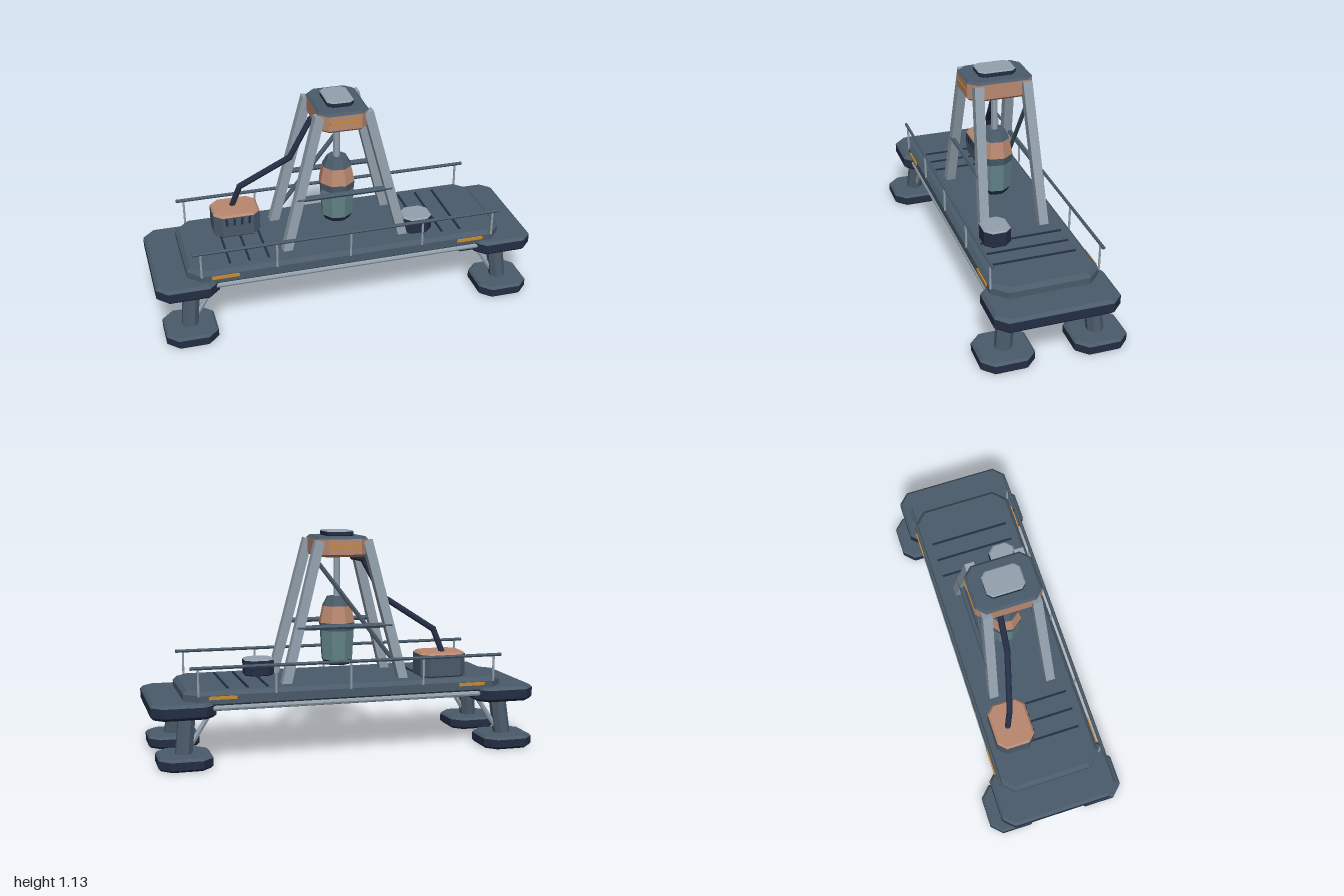
import * as THREE from 'three';

const mat = (name, color) => new THREE.MeshStandardMaterial({ name, color, flatShading: true });

export function createModel() {
  const slate = mat('slate', 0x4a5b6a), navy = mat('navy', 0x242e45), steel = mat('steel', 0x93a1ad);
  const copper = mat('copper', 0xb98870), teal = mat('teal', 0x648589), amber = mat('amber', 0xc98a2c);
  const model = new THREE.Group();
  model.name = 'platform';

  const add = (name, geo, material, x = 0, y = 0, z = 0) => {
    const m = new THREE.Mesh(geo, material);
    m.name = name;
    m.position.set(x, y, z);
    model.add(m);
    return m;
  };
  const box = (name, material, w, h, d, x, y, z) => add(name, new THREE.BoxGeometry(w, h, d), material, x, y, z);

  // Box with cut corners and bevelled rims, standing on y; upward faces take the top material
  const pad = (name, w, h, d, cut, bevel, side, top, x, y, z) => {
    const a = w / 2, b = d / 2;
    const shape = new THREE.Shape([
      [a, -b + cut], [a, b - cut], [a - cut, b], [-a + cut, b],
      [-a, b - cut], [-a, -b + cut], [-a + cut, -b], [a - cut, -b],
    ].map(p => new THREE.Vector2(...p)));
    const geo = new THREE.ExtrudeGeometry(shape, {
      depth: h - 2 * bevel, bevelThickness: bevel, bevelSize: bevel, bevelOffset: -bevel, bevelSegments: 1,
    });
    geo.rotateX(-Math.PI / 2).translate(0, bevel, 0);
    geo.clearGroups();
    const n = geo.attributes.normal;
    for (let i = 0; i < n.count; i += 3) geo.addGroup(i, 3, n.getY(i) > 0.5 ? 1 : 0);
    return add(name, geo, [side, top], x, y, z);
  };

  // Straight bar between two points
  const bar = (name, material, from, to, r, sides = 6, spin = 0) => {
    const a = new THREE.Vector3(...from), b = new THREE.Vector3(...to);
    const dir = b.clone().sub(a);
    const geo = new THREE.CylinderGeometry(r, r, dir.length(), sides).rotateY(spin);
    const m = add(name, geo, material);
    m.position.copy(a).add(b).multiplyScalar(0.5);
    m.quaternion.setFromUnitVectors(new THREE.Vector3(0, 1, 0), dir.normalize());
    return m;
  };

  // Deck with end landings
  pad('deck', 1.67, 0.083, 0.55, 0.07, 0.02, slate, slate, 0, 0.285, 0);
  for (const s of [-1, 1]) {
    pad('endLanding', 0.32, 0.077, 0.626, 0.055, 0.015, navy, slate, s * 0.84, 0.238, 0);
    for (const x of [0.415, 0.515, 0.615]) box('deckSeam', navy, 0.01, 0.008, 0.43, s * x, 0.37, 0);

    for (const t of [-1, 1]) {
      // Feet, legs and braces
      pad('foot', 0.265, 0.063, 0.27, 0.055, 0.012, navy, slate, s * 0.84, 0, t * 0.235);
      bar('footLeg', slate, [s * 0.842, 0.05, t * 0.235], [s * 0.82, 0.25, t * 0.215], 0.044, 8, Math.PI / 8);
      bar('legBrace', steel, [s * 0.81, 0.09, t * 0.225], [s * 0.70, 0.26, t * 0.215], 0.013);
      // Marker lights along the deck side
      box('markerLight', amber, 0.14, 0.016, 0.016, s * 0.65, 0.336, t * 0.274);
      // Tower legs
      bar('towerLeg', steel, [s * 0.31, 0.36, t * 0.158], [s * 0.125, 1.08, t * 0.125], 0.034, 4, Math.PI / 4);
    }
  }

  // Side pipes, railings and tower cross bars on both long sides
  for (const t of [-1, 1]) {
    bar('sidePipe', steel, [-0.72, 0.283, t * 0.264], [0.72, 0.283, t * 0.264], 0.014, 8);
    bar('handRail', slate, [-0.81, 0.485, t * 0.275], [0.81, 0.485, t * 0.275], 0.009);
    for (let i = -2; i <= 2; i++) {
      bar('railPost', steel, [i * 0.385, 0.345, t * 0.273], [i * 0.385, 0.485, t * 0.275], 0.006);
    }
    bar('crossBar', slate, [-0.25, 0.645, t * 0.158], [0.25, 0.645, t * 0.158], 0.014);
    box('headStripe', amber, 0.16, 0.012, 0.008, 0, 1.05, t * 0.169);
  }
  bar('diagonalBrace', slate, [-0.29, 0.42, -0.155], [0.14, 0.98, -0.13], 0.012);

  // Tower head and hatch
  pad('towerHead', 0.26, 0.102, 0.34, 0.045, 0.012, copper, slate, 0, 0.998, 0);
  pad('hatch', 0.14, 0.03, 0.195, 0.025, 0.006, navy, steel, 0, 1.098, 0);

  // Hanging pod: stacked rings [name, material, bottom y, top y, bottom radius, top radius]
  bar('shaft', steel, [0, 0.77, 0], [0, 1.01, 0], 0.018, 8);
  for (const [name, m, y0, y1, r0, r1] of [
    ['podBase', navy, 0.43, 0.457, 0.068, 0.083],
    ['podGlass', teal, 0.457, 0.61, 0.083, 0.092],
    ['podBand', slate, 0.61, 0.65, 0.092, 0.096],
    ['podShoulder', copper, 0.65, 0.737, 0.096, 0.078],
    ['podCap', slate, 0.737, 0.785, 0.078, 0.052],
  ]) {
    const geo = new THREE.CylinderGeometry(r1, r0, y1 - y0, 8).rotateY(0.25);
    add(name, geo, m, 0, (y0 + y1) / 2, 0);
  }

  // Generator with vents, and a small equipment box
  pad('generator', 0.245, 0.13, 0.2, 0.04, 0.01, slate, copper, -0.522, 0.365, -0.128);
  for (let i = 0; i < 4; i++) box('vent', navy, 0.012, 0.04, 0.008, -0.582 + i * 0.04, 0.46, -0.027);
  pad('equipmentBox', 0.155, 0.092, 0.14, 0.035, 0.008, navy, steel, 0.395, 0.365, 0.128);

  // Hose from the generator to the tower head
  const hose = [
    [-0.535, 0.48, -0.15], [-0.49, 0.61, -0.125], [-0.235, 0.78, -0.055],
    [-0.125, 0.98, -0.055], [-0.06, 0.995, -0.095],
  ];
  hose.forEach((p, i) => {
    if (i) bar('hose', navy, hose[i - 1], p, 0.016, 8);
    if (i) add('hoseJoint', new THREE.IcosahedronGeometry(0.0165, 1), navy, ...p);
  });

  return model;
}
